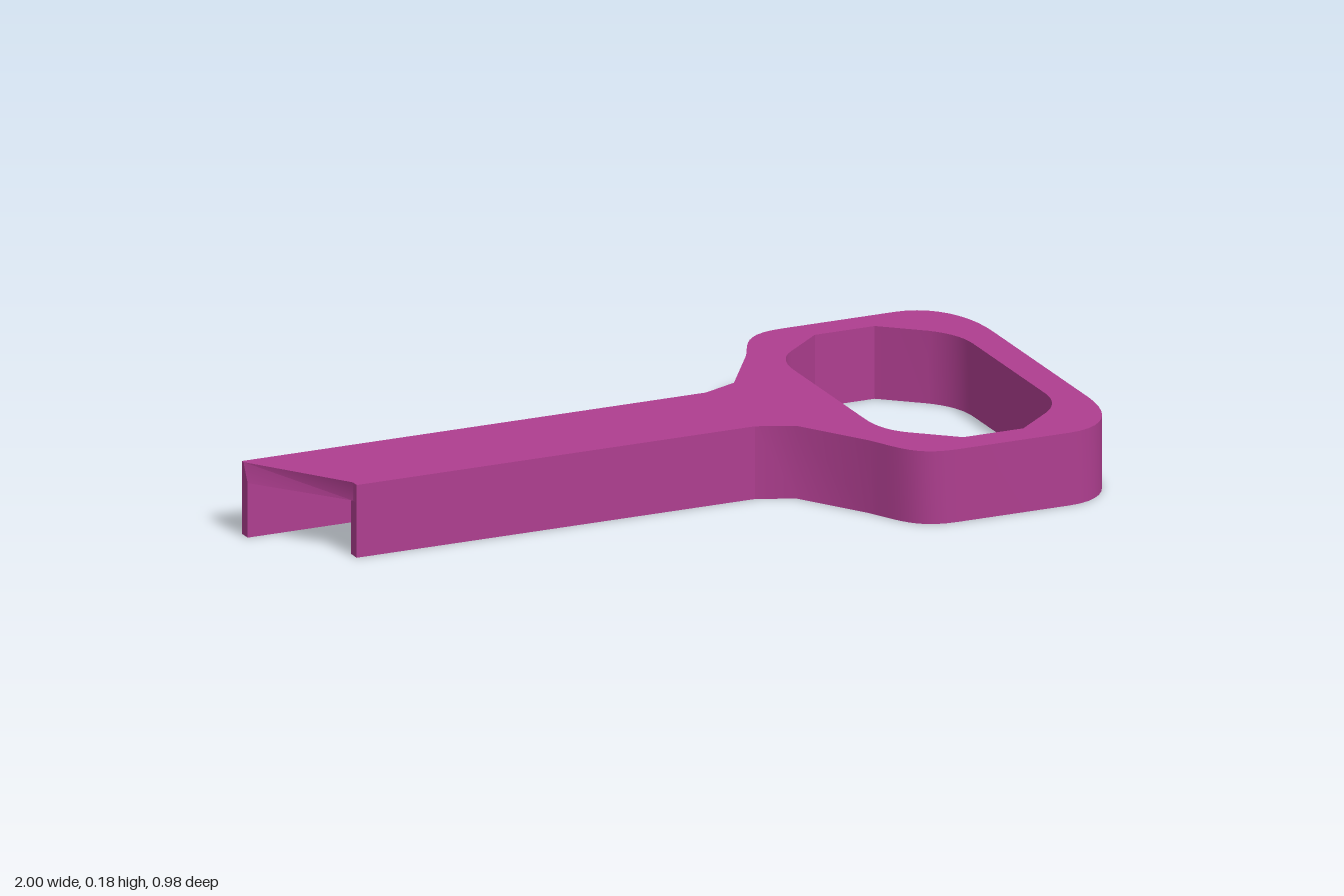
import * as THREE from 'three';
import { toCreasedNormals } from 'three/addons/utils/BufferGeometryUtils.js';

const HEIGHT = 0.18, CEILING = 0.135; // overall height, underside of the channel roof
const HALF = 0.137, INNER = 0.105;    // half widths of the shaft and of its channel
const JOIN = 0.2;                     // x where the shaft meets the handle
const BACK_TIP = -1, FRONT_TIP = -0.83;

// Extrude a plan outline (x, -z) upward between two heights
function slab(name, shape, y0, y1, material) {
  const geometry = new THREE.ExtrudeGeometry(shape, { depth: y1 - y0, bevelEnabled: false });
  geometry.rotateX(-Math.PI / 2).translate(0, y0, 0);
  const mesh = new THREE.Mesh(toCreasedNormals(geometry, 0.65), material);
  mesh.name = name;
  return mesh;
}

const polygon = (points) => new THREE.Shape(points.map(([x, z]) => new THREE.Vector2(x, -z)));

// Close a half outline by mirroring it across the long axis
function mirrored(half) {
  const points = half.getPoints(10);
  const other = points.map((p) => new THREE.Vector2(p.x, -p.y)).reverse();
  return points.concat(other);
}

export function createModel() {
  const group = new THREE.Group();
  group.name = 'key';
  const material = new THREE.MeshStandardMaterial({ color: 0xae3e8f });

  // Ring handle with flared neck
  const outer = new THREE.Path();
  outer.moveTo(JOIN, HALF);
  outer.lineTo(0.29, 0.175);
  outer.lineTo(0.4, 0.345);
  outer.bezierCurveTo(0.44, 0.42, 0.455, 0.49, 0.56, 0.49);
  outer.lineTo(0.85, 0.49);
  outer.bezierCurveTo(0.95, 0.49, 1, 0.39, 1, 0.27);

  const inner = new THREE.Path();
  inner.moveTo(0.457, 0.2);
  inner.quadraticCurveTo(0.457, 0.285, 0.51, 0.33);
  inner.lineTo(0.61, 0.415);
  inner.lineTo(0.765, 0.415);
  inner.lineTo(0.865, 0.33);
  inner.quadraticCurveTo(0.92, 0.275, 0.92, 0.2);

  // The hole runs opposite to the outline so its wall faces inward
  const ring = new THREE.Shape(mirrored(outer));
  ring.holes.push(new THREE.Path(mirrored(inner).reverse()));
  group.add(slab('handle', ring, 0, HEIGHT, material));

  // Shaft roof, its tip cut at a slant
  const roof = slab('shaftRoof', polygon([
    [BACK_TIP, -HALF], [BACK_TIP, -INNER], [FRONT_TIP, 0.115], [FRONT_TIP, HALF], [JOIN, HALF], [JOIN, -HALF],
  ]), CEILING, HEIGHT, material);
  // Lean the cut back: narrow the top of the long corner
  const position = roof.geometry.attributes.position;
  for (let i = 0; i < position.count; i++) {
    const atTip = position.getX(i) < BACK_TIP + 0.001 && position.getZ(i) > -INNER - 0.001;
    if (atTip && position.getY(i) > HEIGHT - 0.001) position.setZ(i, -0.128);
  }
  roof.geometry = toCreasedNormals(roof.geometry, 0.65);
  group.add(roof);

  // Side walls of the channel, square ended and open underneath
  for (const [name, side, tip] of [['backWall', -1, BACK_TIP], ['frontWall', 1, FRONT_TIP]]) {
    group.add(slab(name, polygon([
      [tip, side * INNER], [tip, side * HALF], [JOIN, side * HALF], [JOIN, side * INNER],
    ]), 0, CEILING, material));
  }

  return group;
}
